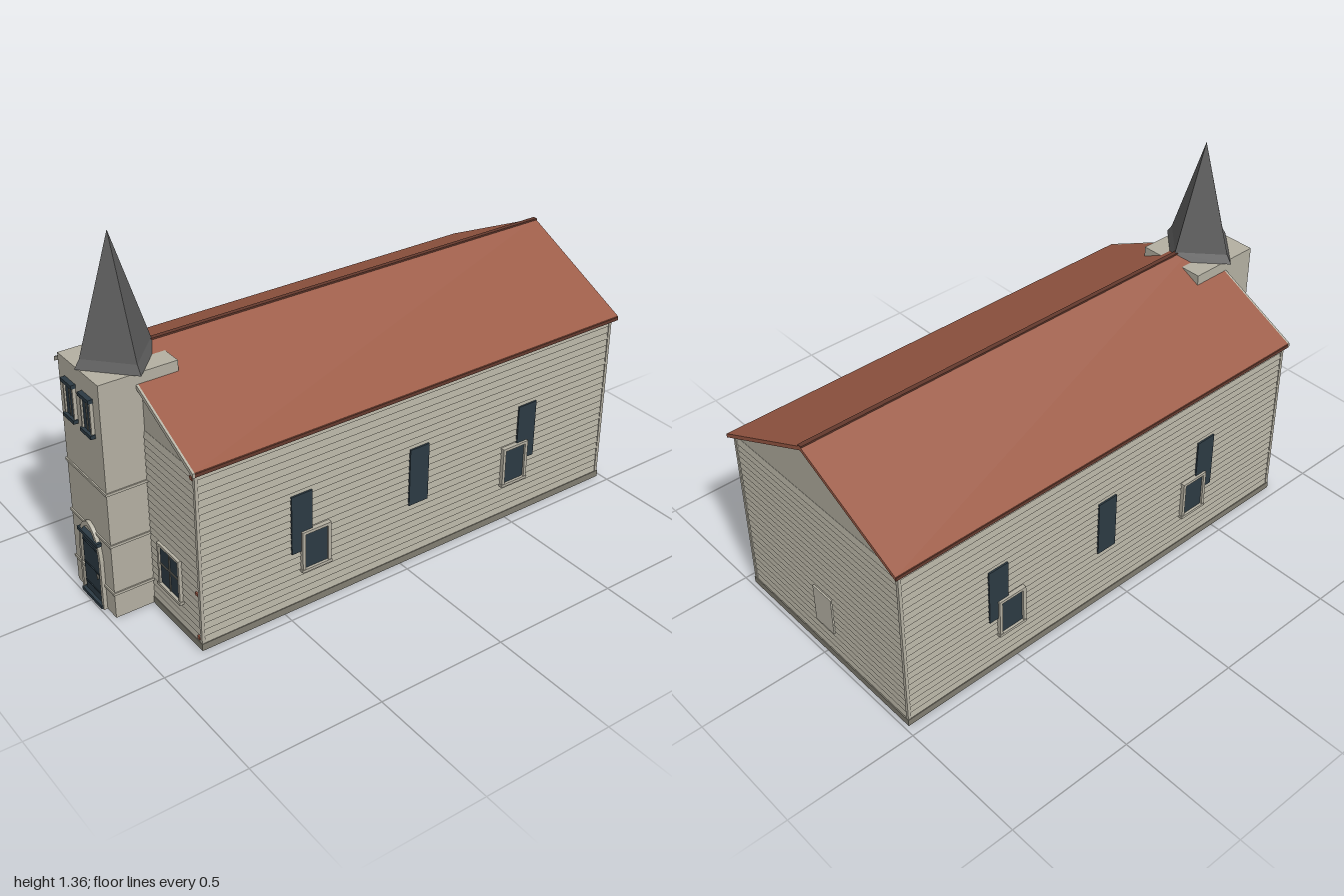
import * as THREE from 'three';

const mat = (name, color) => {
  const m = new THREE.MeshStandardMaterial({ color });
  m.name = name;
  return m;
};

export function createModel() {
  const wall = mat('pale board', 0xb3afa1);
  const stone = mat('foundation grey', 0x807d71);
  const tile = mat('roof red', 0x9b5a45);
  const ridgeRed = mat('ridge dark red', 0x63392d);
  const slate = mat('spire grey', 0x5c5c5c);
  const dark = mat('dark blue', 0x2c3a43);
  const bar = mat('glazing bar grey', 0x77766d);
  const pale = mat('hatch pale', 0xbbb7a9);

  const model = new THREE.Group();
  model.name = 'church';

  const add = (name, geometry, material, parent = model) => {
    const mesh = new THREE.Mesh(geometry, material);
    mesh.name = name;
    parent.add(mesh);
    return mesh;
  };
  // Box given by its lower and upper bounds
  const box = (name, material, x0, x1, y0, y1, z0, z1, parent = model) => {
    const g = new THREE.BoxGeometry(x1 - x0, y1 - y0, z1 - z0);
    g.translate((x0 + x1) / 2, (y0 + y1) / 2, (z0 + z1) / 2);
    return add(name, g, material, parent);
  };
  const prism = (points, z0, z1) => {
    const shape = new THREE.Shape(points.map(([x, y]) => new THREE.Vector2(x, y)));
    const g = new THREE.ExtrudeGeometry(shape, { depth: z1 - z0, bevelEnabled: false });
    return g.translate(0, 0, z0);
  };

  // Nave with gables, on its foundation
  add('nave', prism([[-0.45, 0.01], [0.45, 0.01], [0.45, 0.695], [0, 0.917], [-0.45, 0.695]], -0.975, 0.822), wall);
  box('foundation', stone, -0.459, 0.459, 0, 0.027, -0.985, 0.83);

  // Clapboard siding: a sawtooth section run along each wall
  const siding = (length, angle, x, z) => {
    const rows = 25, y0 = 0.027, h = (0.692 - y0) / rows;
    const pts = [[-0.002, y0]];
    for (let i = 0; i < rows; i++) pts.push([0.006, y0 + i * h], [0.001, y0 + (i + 1) * h]);
    pts.push([-0.002, 0.692]);
    const mesh = add('clapboardSiding', prism(pts, -length / 2, length / 2), wall);
    mesh.rotation.y = angle;
    mesh.position.set(x, 0, z);
  };
  siding(1.8, 0, 0.45, -0.077);
  siding(1.8, Math.PI, -0.45, -0.077);
  siding(0.9, -Math.PI / 2, 0, 0.822);
  siding(0.9, Math.PI / 2, 0, -0.975);

  // Corner boards
  for (const s of [-1, 1]) for (const z of [-0.977, 0.823]) {
    const c = box('cornerBoard', wall, -0.006, 0.006, 0.027, 0.692, -0.006, 0.006);
    c.position.set(s * 0.451, 0, z);
  }

  // Roof
  const chevron = (t, w, y) => [[0, y], [-w, y - 0.5 * w + 0.005], [-w, y - 0.5 * w + 0.005 - t],
    [0, y - t], [w, y - 0.5 * w + 0.005 - t], [w, y - 0.5 * w + 0.005]];
  add('roof', prism(chevron(0.016, 0.47, 0.935), -1, 0.834), tile);
  add('frontBargeboard', prism(chevron(0.017, 0.471, 0.935), 0.834, 0.842), wall);
  add('ridgeCap', prism(chevron(0.006, 0.009, 0.938), -1, 0.834), ridgeRed);
  for (const s of [-1, 1]) {
    const g = box('eaveEdge', ridgeRed, -0.002, 0.002, 0.689, 0.702, -1, 0.834);
    g.position.x = s * 0.47;
  }

  // Tower with thin mouldings
  const tower = new THREE.Group();
  tower.name = 'tower';
  model.add(tower);
  box('towerShaft', wall, -0.138, 0.138, 0, 0.908, 0.685, 0.977, tower);
  for (const y of [0.1, 0.295, 0.5])
    box('towerMoulding', wall, -0.143, 0.143, y - 0.005, y + 0.005, 0.8, 0.982, tower);

  // Spire: four sides, corners on the axes, flared foot
  const profile = [[0, 0.908], [0.165, 0.908], [0.143, 0.94], [0, 1.355]].map(([x, y]) => new THREE.Vector2(x, y));
  const spireGeo = new THREE.LatheGeometry(profile, 4).toNonIndexed();
  spireGeo.scale(1, 1, 0.92);
  spireGeo.computeVertexNormals();
  add('spire', spireGeo, slate, tower).position.z = 0.835;

  // Tower windows
  for (const s of [-1, 1]) {
    const w = new THREE.Group();
    w.name = 'towerWindow';
    w.position.set(s * 0.059, 0, 0.977);
    tower.add(w);
    box('glass', dark, -0.027, 0.027, 0.7, 0.835, 0, 0.006, w);
    box('windowBar', bar, -0.0015, 0.0015, 0.71, 0.825, 0.006, 0.009, w);
    for (const t of [-1, 1])
      box('jamb', wall, t * 0.031 - 0.004, t * 0.031 + 0.004, 0.71, 0.825, 0, 0.012, w);
    for (const y of [0.695, 0.826])
      box('lintelAndSill', dark, -0.037, 0.037, y, y + 0.014, 0, 0.018, w);
  }

  // Door under a pointed arch
  const door = new THREE.Group();
  door.name = 'entrance';
  door.position.z = 0.977;
  model.add(door);
  const arch = (path, w, top, spring) => {
    path.moveTo(-w, 0);
    path.lineTo(-w, spring);
    path.quadraticCurveTo(-w * 0.85, top - 0.012, 0, top);
    path.quadraticCurveTo(w * 0.85, top - 0.012, w, spring);
    path.lineTo(w, 0);
    path.closePath();
    return path;
  };
  const frame = arch(new THREE.Shape(), 0.076, 0.323, 0.2);
  const hole = arch(new THREE.Path(), 0.062, 0.305, 0.2);
  hole.curves.forEach(c => ['v1', 'v2', 'v0'].forEach(k => { if (c[k] && c[k].y === 0) c[k].y = 0.001; }));
  frame.holes.push(hole);
  add('archFrame', new THREE.ExtrudeGeometry(frame, { depth: 0.014, bevelEnabled: false, curveSegments: 8 }), wall, door);
  box('doorLeaf', dark, -0.058, 0.058, 0.01, 0.262, 0, 0.008, door);
  for (const y of [0.05, 0.13, 0.222]) box('doorRail', dark, -0.055, 0.055, y, y + 0.004, 0.008, 0.011, door);
  box('doorHandle', bar, 0.04, 0.044, 0.11, 0.13, 0.008, 0.014, door);
  box('doorLintel', dark, -0.07, 0.07, 0.257, 0.271, 0, 0.02, door);
  box('doorStep', dark, -0.07, 0.07, 0.002, 0.016, 0, 0.02, door);

  // Front windows, two by two panes, and small brick plates at the corners
  for (const s of [-1, 1]) {
    const w = new THREE.Group();
    w.name = 'frontWindow';
    w.position.set(s * 0.268, 0, 0.828);
    model.add(w);
    box('glass', dark, -0.062, 0.062, 0.128, 0.284, -0.004, 0.003, w);
    box('verticalBar', bar, -0.003, 0.003, 0.128, 0.284, 0.003, 0.006, w);
    box('horizontalBar', bar, -0.062, 0.062, 0.206, 0.212, 0.003, 0.006, w);
    for (const t of [-1, 1])
      box('jamb', wall, t * 0.066 - 0.005, t * 0.066 + 0.005, 0.128, 0.288, -0.004, 0.01, w);
    box('lintel', wall, -0.071, 0.071, 0.282, 0.292, -0.004, 0.01, w);
    box('sill', wall, -0.075, 0.075, 0.118, 0.129, -0.004, 0.014, w);
    for (const y of [0.042, 0.22, 0.668]) {
      const b = box('cornerPlate', tile, -0.007, 0.007, y - 0.006, y + 0.006, 0.822, 0.831);
      b.position.x = s * 0.437;
    }
  }

  // Side panels and framed side windows
  for (const s of [-1, 1]) {
    const side = new THREE.Group();
    side.name = 'sideWindows';
    side.rotation.y = s * Math.PI / 2;
    side.position.x = s * 0.455;
    model.add(side);
    // local x runs along the wall, local z points outward
    const along = (name, m, z, half, y0, y1, d) =>
      box(name, m, -s * z - half, -s * z + half, y0, y1, -0.004, d, side);
    for (const z of [0.426, -0.075, -0.58]) along('tallPanel', dark, z, 0.042, 0.235, 0.465, 0.005);
    for (const z of [0.371, -0.526]) {
      along('glass', dark, z, 0.05, 0.16, 0.305, 0.006);
      for (const t of [-1, 1]) along('jamb', wall, z + t * 0.053, 0.006, 0.155, 0.312, 0.014);
      along('lintel', wall, z, 0.059, 0.302, 0.313, 0.014);
      along('sill', wall, z, 0.061, 0.15, 0.161, 0.016);
    }
  }

  // Back hatch
  box('backHatch', pale, -0.052, 0.052, 0.12, 0.28, -0.985, -0.977);

  return model;
}
